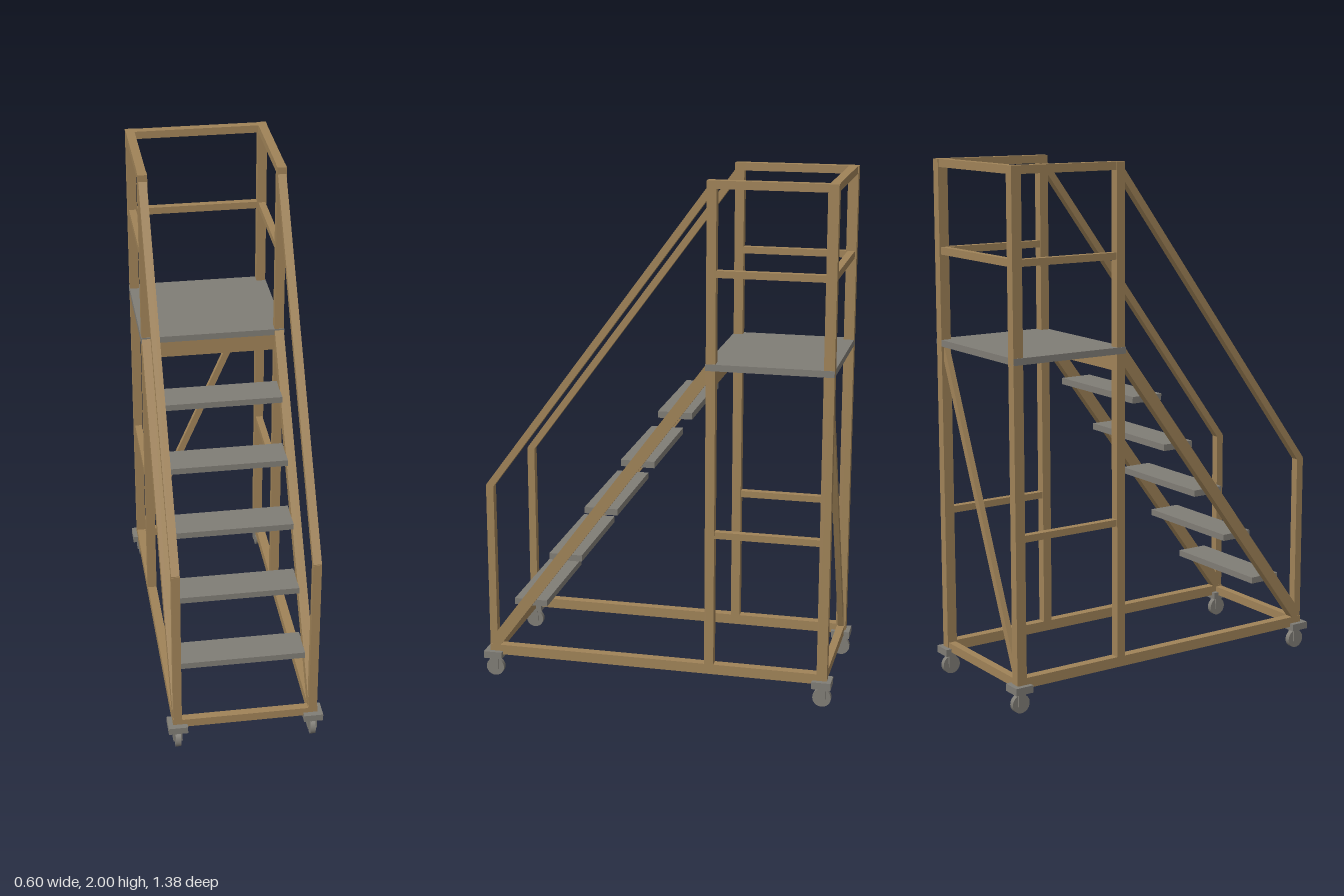
import * as THREE from 'three';

export function createModel() {
  const model = new THREE.Group();
  model.name = 'rollingPlatformLadder';
  const tan = new THREE.MeshStandardMaterial({ color: 0xa08358 });
  tan.name = 'tan frame';
  const grey = new THREE.MeshStandardMaterial({ color: 0x807d76 });
  grey.name = 'grey deck';

  const box = (name, mat, w, h, d, x, y, z, parent = model) => {
    const m = new THREE.Mesh(new THREE.BoxGeometry(w, h, d), mat);
    m.name = name;
    m.position.set(x, y, z);
    parent.add(m);
    return m;
  };

  // Sloping bar in a side plane, its ends cut vertically
  const slopeBar = (name, x, width, height, z0, y0, z1, y1) => {
    const half = height / 2;
    const s = new THREE.Shape();
    s.moveTo(-z0, y0 - half);
    s.lineTo(-z1, y1 - half);
    s.lineTo(-z1, y1 + half);
    s.lineTo(-z0, y0 + half);
    const g = new THREE.ExtrudeGeometry(s, { depth: width, bevelEnabled: false });
    g.translate(0, 0, -width / 2);
    g.rotateY(Math.PI / 2);
    const m = new THREE.Mesh(g, tan);
    m.name = name;
    m.position.x = x;
    model.add(m);
  };

  const X = 0.262, FRONT = 0.655, MID = -0.215, BACK = -0.655;
  const midZ = (MID + BACK) / 2, spanZ = MID - BACK;

  for (const side of [-1, 1]) {
    const x = side * X;
    // Uprights
    box('backPost', tan, 0.036, 1.89, 0.04, x, 1.055, BACK);
    box('middlePost', tan, 0.036, 1.89, 0.036, x, 1.055, MID);
    box('handrailPost', tan, 0.032, 0.69, 0.03, x, 0.45, FRONT);
    // Lengthwise rails
    box('baseSideRail', tan, 0.036, 0.04, 1.34, x, 0.115, 0);
    box('lowerSideRail', tan, 0.028, 0.026, spanZ, x, 0.66, midZ);
    box('guardSideRail', tan, 0.028, 0.026, spanZ, x, 1.66, midZ);
    box('topSideRail', tan, 0.034, 0.03, spanZ, x, 1.985, midZ);
    // Sloping stringer and handrail
    slopeBar('stringer', x, 0.036, 0.075, 0.655, 0.135, -0.2, 1.288);
    slopeBar('handrail', x, 0.032, 0.046, 0.668, 0.776, -0.215, 1.975);

    // Casters
    for (const z of [FRONT, BACK]) {
      const caster = new THREE.Group();
      caster.name = 'caster';
      caster.position.set(x, 0, z);
      box('casterPlate', grey, 0.074, 0.028, 0.074, 0, 0.095, 0, caster);
      for (const e of [-1, 1])
        box('casterFork', grey, 0.006, 0.055, 0.03, e * 0.015, 0.056, 0, caster);
      const wheel = new THREE.Mesh(new THREE.CylinderGeometry(0.036, 0.036, 0.02, 24), grey);
      wheel.name = 'wheel';
      wheel.rotation.z = Math.PI / 2;
      wheel.position.y = 0.036;
      caster.add(wheel);
      model.add(caster);
    }
  }

  // Cross rails
  box('baseFrontRail', tan, 0.5, 0.034, 0.03, 0, 0.113, FRONT);
  box('baseBackRail', tan, 0.5, 0.034, 0.03, 0, 0.113, BACK);
  box('guardBackRail', tan, 0.5, 0.028, 0.028, 0, 1.66, BACK);
  box('topBackRail', tan, 0.5, 0.03, 0.034, 0, 1.985, BACK);

  // Diagonal brace across the back
  const dx = 0.5, dy = 1.16;
  const brace = box('backBrace', tan, 0.027, Math.hypot(dx, dy), 0.022, 0, 0.71, BACK);
  brace.rotation.z = -Math.atan2(dx, dy);

  // Platform and the beam under its front edge
  box('platform', grey, 0.564, 0.025, 0.48, 0, 1.312, -0.435);
  box('platformBeam', tan, 0.49, 0.065, 0.03, 0, 1.267, -0.212);

  // Steps
  for (let i = 0; i < 5; i++)
    box('step', grey, 0.49, 0.025, 0.131, 0, 0.312 + i * 0.2, 0.509 - i * 0.1455);

  return model;
}
